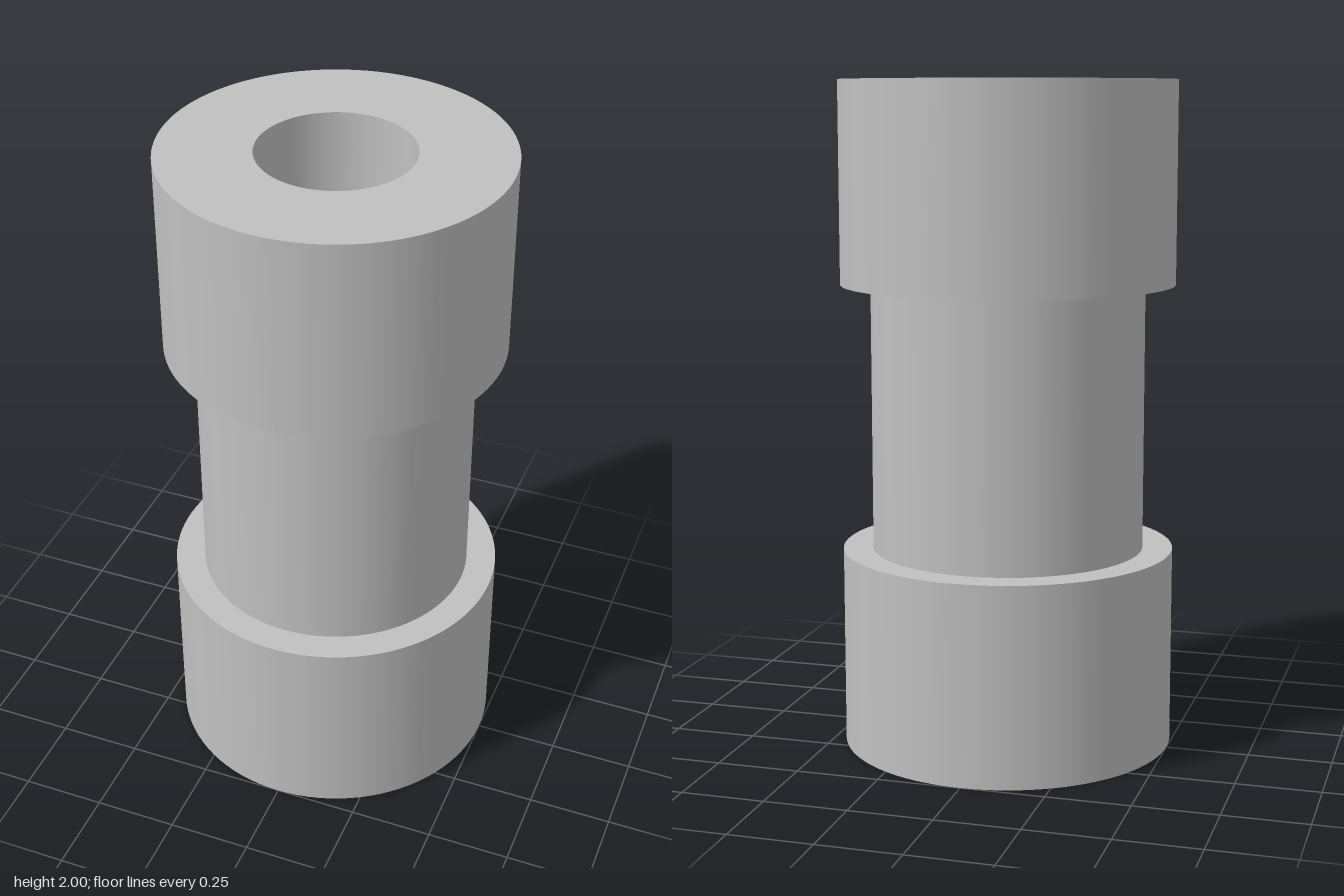
import * as THREE from 'three';
import { mergeGeometries } from 'three/addons/utils/BufferGeometryUtils.js';

const OUTER = 0.5, WAIST = 0.41, BORE = 0.226;
const SEGMENTS = 96;

// Revolves each straight run of the profile on its own, so corners stay sharp
function turned(profile) {
  const bands = [];
  for (let i = 0; i < profile.length - 1; i++) {
    const run = [profile[i], profile[i + 1]].map(([r, y]) => new THREE.Vector2(r, y));
    bands.push(new THREE.LatheGeometry(run, SEGMENTS));
  }
  return mergeGeometries(bands);
}

export function createModel() {
  const model = new THREE.Group();
  model.name = 'steppedSleeve';

  const grey = new THREE.MeshStandardMaterial({ color: 0xc0c0c0 });
  grey.name = 'grey';

  // Profiles run counter-clockwise: outwards below, up the outside, inwards on top
  const parts = {
    lowerCollar: [[BORE, 0], [OUTER, 0], [OUTER, 0.6], [WAIST, 0.6]],
    waist: [[WAIST, 0.6], [WAIST, 1.4]],
    upperCollar: [[WAIST, 1.4], [OUTER, 1.4], [OUTER, 2], [BORE, 2]],
    bore: [[BORE, 2], [BORE, 0]],
  };

  for (const [name, profile] of Object.entries(parts)) {
    const mesh = new THREE.Mesh(turned(profile), grey);
    mesh.name = name;
    model.add(mesh);
  }
  return model;
}
